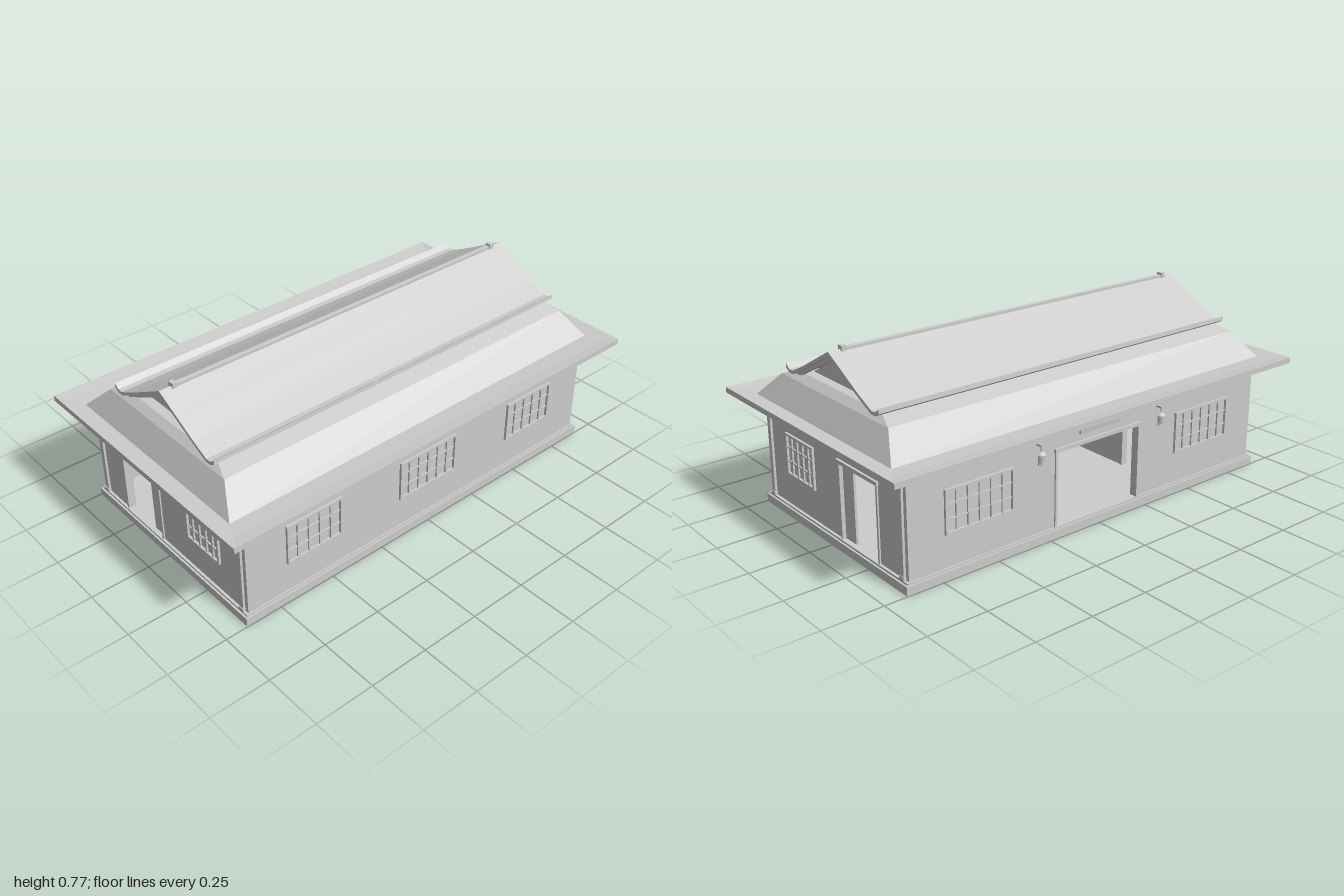
import * as THREE from 'three';

const plaster = new THREE.MeshStandardMaterial({ color: 0xcccccc });
plaster.name = 'pale grey';

const FLOOR = 0.043, WALL_TOP = 0.46, THICK = 0.028;

function add(parent, name, geometry, x = 0, y = 0, z = 0) {
  const mesh = new THREE.Mesh(geometry, plaster);
  mesh.name = name;
  mesh.position.set(x, y, z);
  parent.add(mesh);
  return mesh;
}

// Box given by its lower and upper corners
function box(parent, name, x0, x1, y0, y1, z0, z1) {
  return add(parent, name, new THREE.BoxGeometry(x1 - x0, y1 - y0, z1 - z0),
    (x0 + x1) / 2, (y0 + y1) / 2, (z0 + z1) / 2);
}

// Polygon in x and y, extruded along z
function prism(points, depth) {
  const shape = new THREE.Shape(points.map(([x, y]) => new THREE.Vector2(x, y)));
  return new THREE.ExtrudeGeometry(shape, { depth, bevelEnabled: false });
}

// Stack of rectangular rings [half x, half z, y], closed at both ends
function rectLoft(rings) {
  const pos = [];
  const corners = ([x, z, y]) => [[-x, y, z], [x, y, z], [x, y, -z], [-x, y, -z]];
  const quad = (a, b, c, d) => pos.push(...a, ...b, ...c, ...a, ...c, ...d);
  for (let i = 0; i + 1 < rings.length; i++) {
    const lo = corners(rings[i]), hi = corners(rings[i + 1]);
    for (let k = 0; k < 4; k++) {
      const n = (k + 1) % 4;
      quad(lo[k], lo[n], hi[n], hi[k]);
    }
  }
  quad(...corners(rings[0]).reverse());
  quad(...corners(rings[rings.length - 1]));
  const geometry = new THREE.BufferGeometry();
  geometry.setAttribute('position', new THREE.Float32BufferAttribute(pos, 3));
  geometry.computeVertexNormals();
  return geometry;
}

// Lattice window on a wall whose outer face is at local z = 0
function latticeWindow(parent, x, width, cols) {
  const g = new THREE.Group();
  g.name = 'latticeWindow';
  g.position.x = x;
  parent.add(g);
  const w = width / 2, y0 = 0.174, y1 = 0.35, t = 0.01, rows = 3;
  for (const s of [-1, 1]) {
    const c = s * (w - t / 2);
    box(g, 'windowJamb', c - t / 2, c + t / 2, y0, y1, 0, 0.01);
  }
  box(g, 'windowSill', -w, w, y0, y0 + t, 0, 0.01);
  box(g, 'windowHead', -w, w, y1 - t, y1, 0, 0.01);
  for (let i = 1; i < cols; i++) {
    const c = -w + (width * i) / cols;
    box(g, 'latticeUpright', c - 0.004, c + 0.004, y0, y1, 0, 0.007);
  }
  for (let i = 1; i < rows; i++) {
    const c = y0 + ((y1 - y0) * i) / rows;
    box(g, 'latticeRail', -w, w, c - 0.003, c + 0.003, 0, 0.006);
  }
}

// One wall in its own frame: x along the wall, z outwards
function wall(parent, name, angle, dist, half, door, windows) {
  const g = new THREE.Group();
  g.name = name;
  g.rotation.y = angle;
  g.position.set(Math.sin(angle) * dist, 0, Math.cos(angle) * dist);
  parent.add(g);
  const outline = [[-half, FLOOR], [half, FLOOR], [half, WALL_TOP], [-half, WALL_TOP]];
  if (door) {
    const [a, b] = door, top = 0.36, t = 0.01;
    outline.splice(1, 0, [a, FLOOR], [a, top], [b, top], [b, FLOOR]);
    box(g, 'doorJamb', a, a + t, FLOOR, top, -THICK, 0.006);
    box(g, 'doorJamb', b - t, b, FLOOR, top, -THICK, 0.006);
    box(g, 'doorLintel', a - 0.005, b + 0.005, top - t, top + 0.005, -THICK, 0.01);
  }
  add(g, 'wallPanel', prism(outline, THICK), 0, 0, -THICK);
  windows.forEach(([x, w, cols]) => latticeWindow(g, x, w, cols));
  return g;
}

// Hanging lantern, hung from its top at y = 0
function lantern(parent, x, y, z) {
  const g = new THREE.Group();
  g.name = 'lantern';
  g.position.set(x, y, z);
  parent.add(g);
  add(g, 'lanternHook', new THREE.CylinderGeometry(0.003, 0.003, 0.03, 6), 0, -0.012, 0);
  add(g, 'lanternCap', new THREE.CylinderGeometry(0.006, 0.019, 0.012, 6), 0, -0.028, 0);
  add(g, 'lanternBody', new THREE.CylinderGeometry(0.014, 0.012, 0.036, 6), 0, -0.051, 0);
  add(g, 'lanternFoot', new THREE.CylinderGeometry(0.016, 0.016, 0.005, 6), 0, -0.071, 0);
}

export function createModel() {
  const model = new THREE.Group();
  model.name = 'hipAndGableHouse';

  // Stepped base
  box(model, 'base', -0.905, 0.905, 0, 0.035, -0.497, 0.497);
  box(model, 'plinth', -0.897, 0.897, 0.035, FLOOR, -0.49, 0.49);

  // Four walls
  const X = 0.886, Z = 0.483;
  wall(model, 'frontWall', 0, Z, X, null, [[-0.575, 0.26, 5], [0, 0.3, 6], [0.575, 0.26, 5]]);
  const back = wall(model, 'backWall', Math.PI, Z, X, [-0.22, 0.22],
    [[-0.575, 0.31, 6], [0.575, 0.31, 6]]);
  const sides = [
    [wall(model, 'leftWall', Math.PI / 2, X, Z - THICK, [0.05, 0.31], [[-0.228, 0.204, 5]]), 1],
    [wall(model, 'rightWall', -Math.PI / 2, X, Z - THICK, [-0.31, -0.05], [[0.228, 0.204, 5]]), -1],
  ];

  // Corner posts, brackets and half-open sliding doors on the short walls
  for (const [g, s] of sides) {
    for (const c of [-0.455, 0.455]) {
      box(g, 'cornerPost', c - 0.011, c + 0.011, FLOOR, 0.45, 0, 0.01);
      box(g, 'postFoot', c - 0.014, c + 0.014, FLOOR, 0.058, 0, 0.013);
      box(g, 'postBracket', c - 0.014, c + 0.014, 0.44, 0.458, 0, 0.02);
    }
    const d = s * 0.09;
    box(g, 'slidingDoor', d - 0.04, d + 0.04, FLOOR, 0.35, -0.02, -0.01);
  }

  // Plaque, brackets and lanterns on the back wall
  box(back, 'plaque', -0.1, 0.1, 0.395, 0.445, 0, 0.012).rotation.x = 0.15;
  for (const s of [-1, 1]) {
    box(back, 'eaveBracket', s * 0.63 - 0.02, s * 0.63 + 0.02, 0.438, 0.458, 0, 0.02);
    box(back, 'lanternArm', s * 0.31 - 0.004, s * 0.31 + 0.004, 0.405, 0.413, 0, 0.032);
    lantern(back, s * 0.31, 0.41, 0.028);
  }

  // Inner partitions and lamp
  for (const s of [-1, 1]) {
    box(model, 'partition', s * 0.4 - 0.01, s * 0.4 + 0.01, FLOOR, 0.335, -0.215, 0.455);
    box(model, 'partitionPost', s * 0.4 - 0.014, s * 0.4 + 0.014, FLOOR, 0.345, -0.225, -0.21);
  }
  lantern(model, 0, 0.325, -0.242);
  box(model, 'lampCord', -0.002, 0.002, 0.325, 0.456, -0.244, -0.24);

  // Lower hipped roof with slightly raised eaves
  add(model, 'lowerRoof', rectLoft([
    [0.88, 0.47, 0.454], [1, 0.59, 0.465], [1, 0.59, 0.488], [0.97, 0.54, 0.482],
    [0.93, 0.468, 0.478], [0.87, 0.366, 0.577], [0.84, 0.28, 0.602],
  ]));

  // Upper gable roof with upturned eaves, running along x
  const half = [[0.0, 0.757], [0.1, 0.702], [0.2, 0.647], [0.272, 0.613], [0.295, 0.614], [0.316, 0.631],
    [0.318, 0.614], [0.295, 0.6], [0.268, 0.6], [0.19, 0.638], [0.09, 0.692], [0.0, 0.738]];
  const mirror = half.slice(1, -1).map(([x, y]) => [-x, y]).reverse();
  const upper = new THREE.Group();
  upper.name = 'upperRoof';
  upper.rotation.y = Math.PI / 2;
  model.add(upper);
  add(upper, 'gableRoof', prism([...half, ...mirror], 1.75), 0, 0, -0.875);
  add(upper, 'gableCore', prism([[-0.25, 0.598], [0.25, 0.598], [0, 0.736]], 1.6), 0, 0, -0.8);

  // Bargeboards under the gable ends
  const board = [[0, 0.738], [0.268, 0.6], [0.24, 0.6], [0, 0.722], [-0.24, 0.6], [-0.268, 0.6]];
  for (const z of [-0.86, 0.84]) add(upper, 'bargeboard', prism(board, 0.02), 0, 0, z);

  // Ridge beam with end knobs
  box(model, 'ridgeBeam', -0.82, 0.82, 0.74, 0.762, -0.01, 0.01);
  for (const s of [-1, 1]) {
    box(model, 'ridgeKnob', s * 0.815 - 0.01, s * 0.815 + 0.01, 0.74, 0.771, -0.013, 0.013);
  }
  return model;
}
